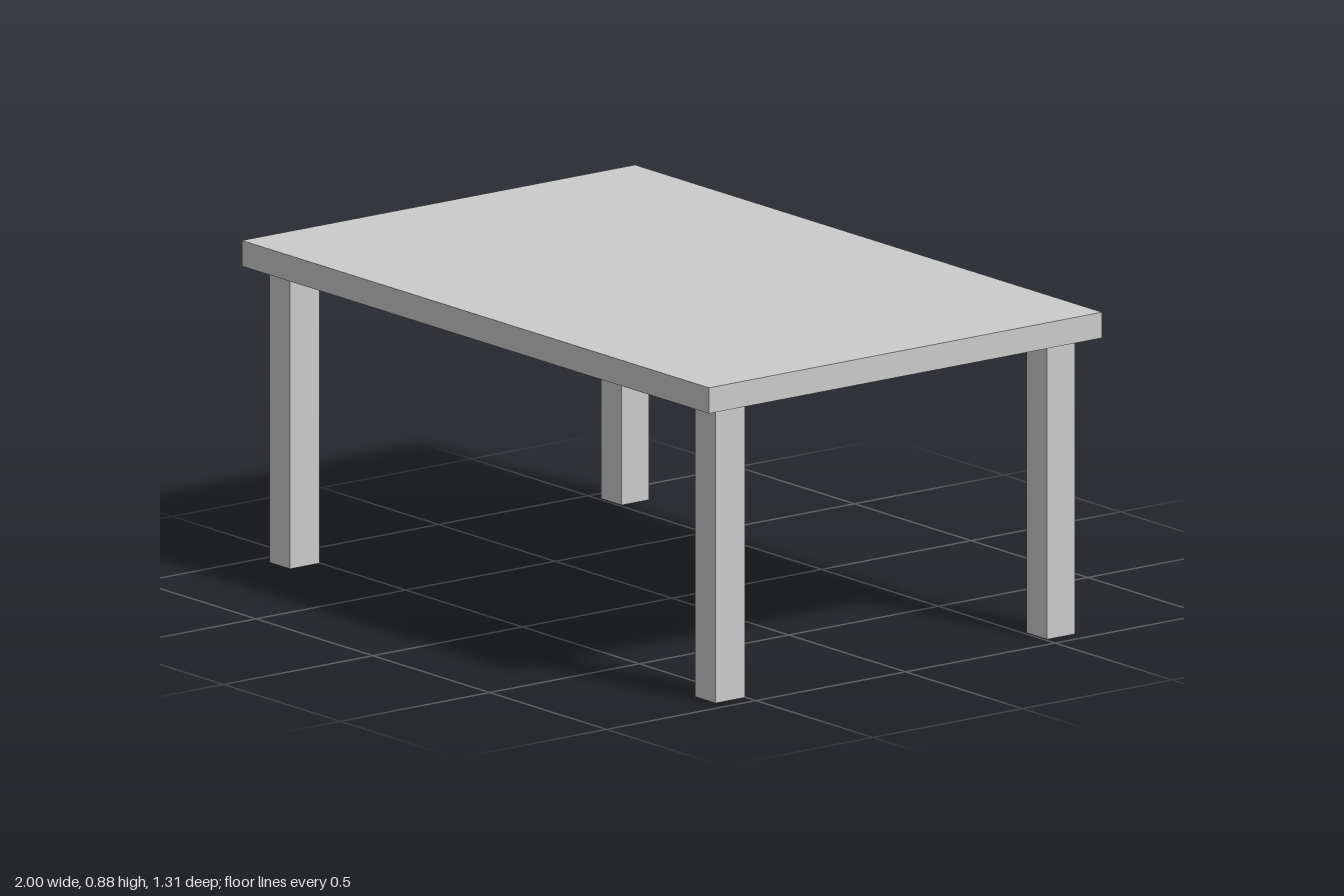
import * as THREE from 'three';

const TOP_Y = 0.875;    // upper face of the table top
const UNDER_Y = 0.805;  // underside, where the legs end

export function createModel() {
  const table = new THREE.Group();
  table.name = 'table';
  const material = new THREE.MeshStandardMaterial({ color: 0xcccccc });

  // Adds a box given its size and centre
  const addBox = (name, [w, h, d], [x, y, z]) => {
    const mesh = new THREE.Mesh(new THREE.BoxGeometry(w, h, d), material);
    mesh.name = name;
    mesh.position.set(x, y, z);
    table.add(mesh);
  };

  // Flat rectangular slab
  addBox('tableTop', [2, TOP_Y - UNDER_Y, 1.314], [0, (TOP_Y + UNDER_Y) / 2, 0]);

  // Four square legs, the front pair slightly deeper
  const rows = [
    { row: 'front', z: 0.552, depth: 0.098 },
    { row: 'back', z: -0.554, depth: 0.092 },
  ];
  for (const { row, z, depth } of rows) {
    for (const [side, x] of [['Left', 0.912], ['Right', -0.91]]) {
      addBox(`${row}${side}Leg`, [0.088, UNDER_Y, depth], [x, UNDER_Y / 2, z]);
    }
  }

  return table;
}
